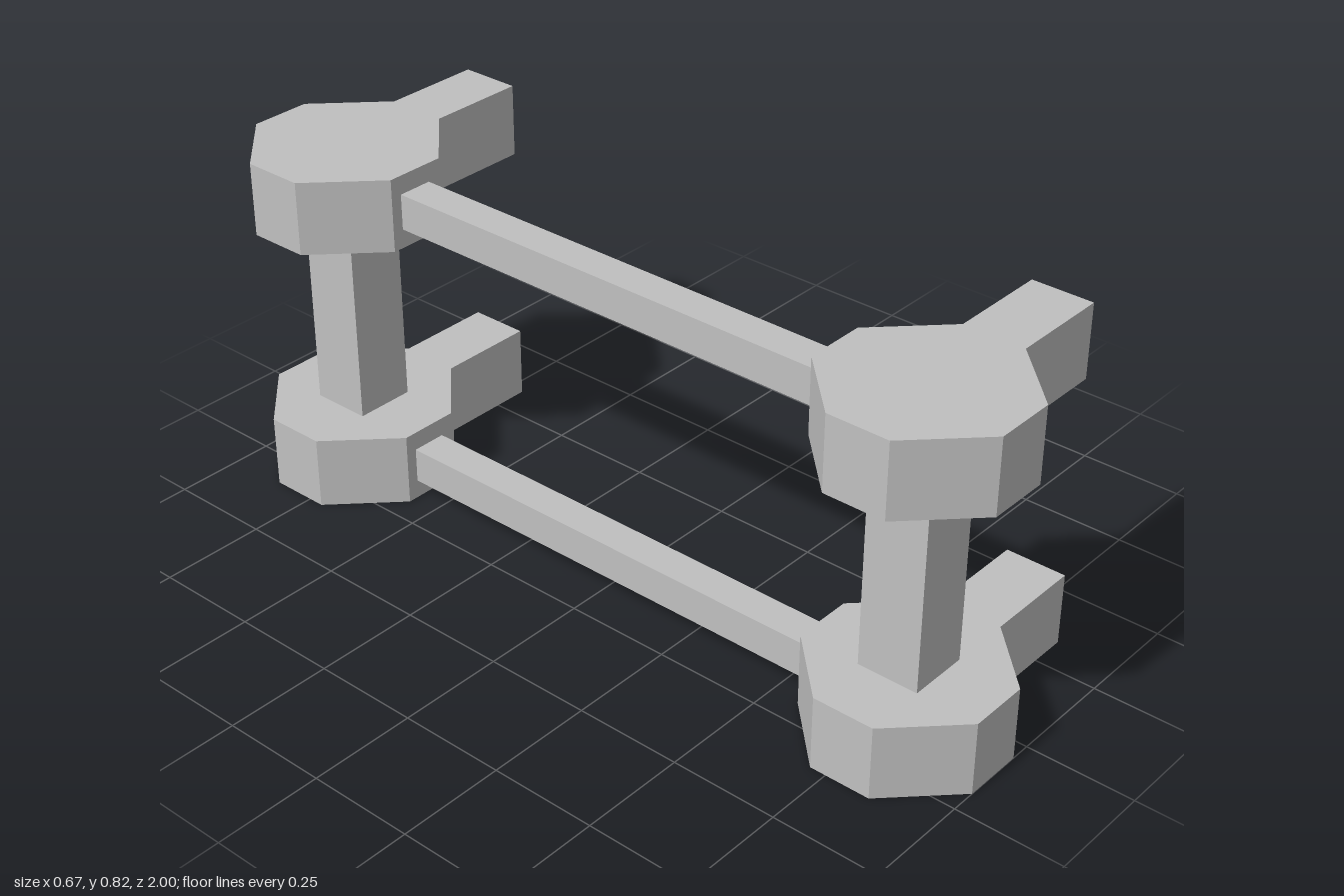
import * as THREE from 'three';

export function createModel() {
  const model = new THREE.Group();
  const grey = new THREE.MeshStandardMaterial({ color: 0xc0c0c0, flatShading: true });

  const cx = -0.119, cz = 0.784;   // hub centre
  const R = 0.216, h = 0.072;      // octagon half width, half length of a flat side
  const thick = 0.173, top = 0.823;
  const add = (name, geometry, x, y, z) => {
    const mesh = new THREE.Mesh(geometry, grey);
    mesh.name = name;
    mesh.position.set(x, y, z);
    model.add(mesh);
  };

  // Octagonal hub whose +x side runs out into a straight arm
  const arm = 0.335 - cx;
  const outline = [[arm, -h], [arm, h], [R, h], [h, R], [-h, R], [-R, h], [-R, -h], [-h, -R], [h, -R], [R, -h]];
  const hub = new THREE.ExtrudeGeometry(
    new THREE.Shape(outline.map(([x, y]) => new THREE.Vector2(x, y))),
    { depth: thick, bevelEnabled: false });
  hub.rotateX(-Math.PI / 2);

  // Square posts between the hubs, and slim rods joining front and back
  const postHeight = top - 2 * thick;
  const post = new THREE.BoxGeometry(2 * h, postHeight, 2 * h);
  const rod = new THREE.BoxGeometry(0.084, 0.084, 2 * (cz - R));

  for (const [level, y] of [['lower', 0], ['upper', top - thick]]) {
    for (const [end, z] of [['Front', cz], ['Back', -cz]]) add(level + end + 'Hub', hub, cx, y, z);
    add(level + 'Rod', rod, -0.122, y + thick / 2, 0);
  }
  add('frontPost', post, cx, top / 2, cz);
  add('backPost', post, cx, top / 2, -cz);

  return model;
}
